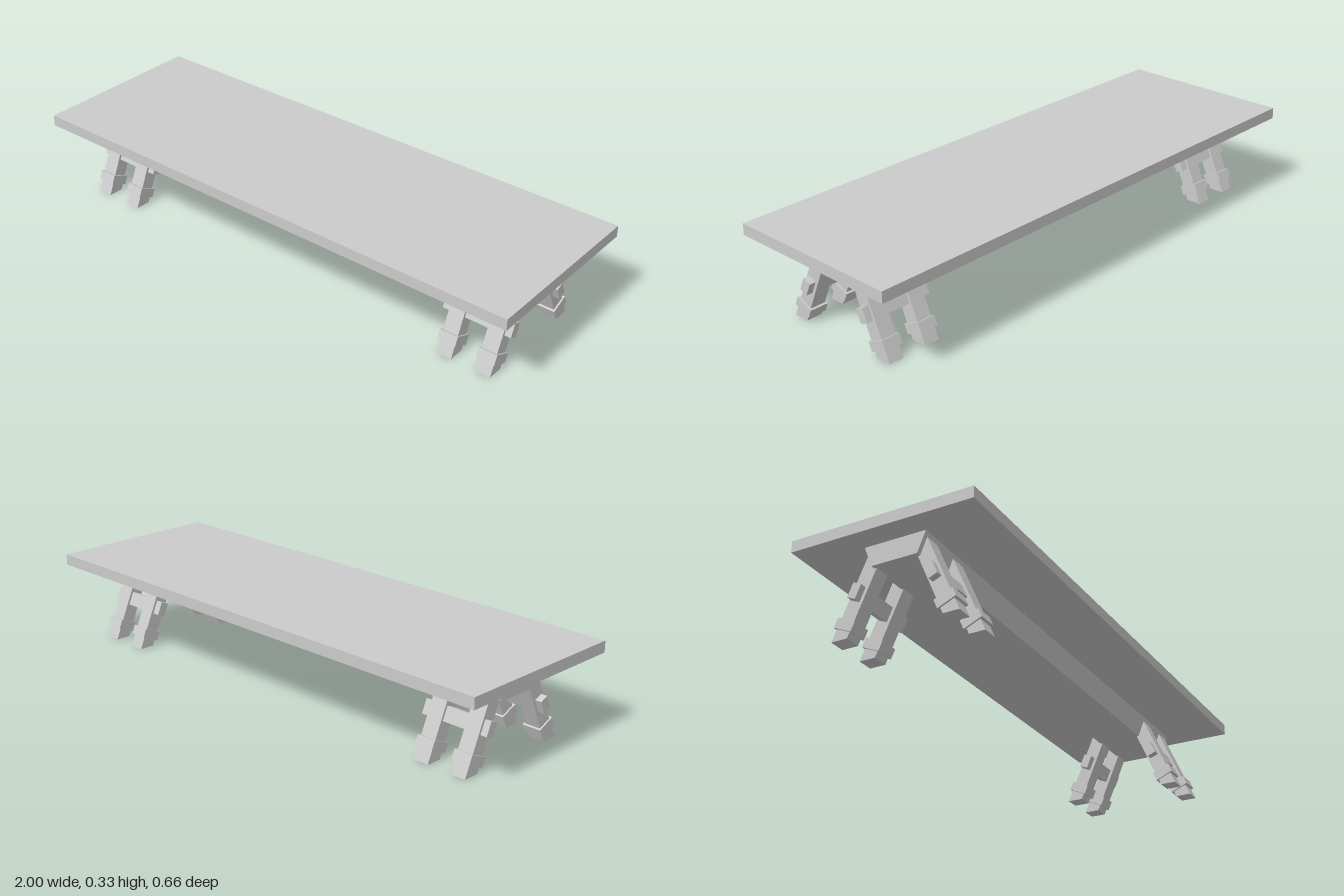
import * as THREE from 'three';

const TILT = -0.411; // splay of the legs

export function createModel() {
  const model = new THREE.Group();
  const material = new THREE.MeshStandardMaterial({ color: 0xcccccc, flatShading: true });

  const add = (parent, name, geometry, x = 0, y = 0, z = 0, tilt = 0) => {
    const mesh = new THREE.Mesh(geometry, material);
    mesh.name = name;
    mesh.position.set(x, y, z);
    mesh.rotation.x = tilt;
    parent.add(mesh);
  };

  // Side profile given as [z, y] points, extruded along x and centred
  const profile = (points, width) => {
    const shape = new THREE.Shape(points.map(([z, y]) => new THREE.Vector2(-z, y)));
    return new THREE.ExtrudeGeometry(shape, { depth: width, bevelEnabled: false })
      .translate(0, 0, -width / 2)
      .rotateY(Math.PI / 2);
  };

  // Flat top slab
  add(model, 'tableTop', new THREE.BoxGeometry(2, 0.041, 0.662), 0, 0.3135, 0);

  // Tapered beam under the slab
  add(model, 'supportBeam', profile([[0.112, 0.293], [0.083, 0.22], [-0.083, 0.22], [-0.112, 0.293]], 1.83));

  const legGeometry = profile([[0.229, 0], [0.171, 0], [0.058, 0.259], [0.106, 0.28]], 0.058);
  const collarGeometry = new THREE.BoxGeometry(0.07, 0.035, 0.07);
  const braceGeometry = new THREE.BoxGeometry(0.259, 0.051, 0.0325);

  // Front and back rows, each with a pair of braced legs at either end
  for (const row of ['front', 'back']) {
    const legs = new THREE.Group();
    legs.name = row + 'Legs';
    if (row === 'back') legs.rotation.y = Math.PI;
    for (const side of [-1, 1]) {
      for (const x of [0.72, 0.869]) {
        add(legs, 'leg', legGeometry, side * x);
        add(legs, 'legCollar', collarGeometry, side * x, 0.0475, 0.18, TILT);
      }
      add(legs, 'legBrace', braceGeometry, side * 0.7925, 0.1455, 0.1375, TILT);
    }
    model.add(legs);
  }
  return model;
}
